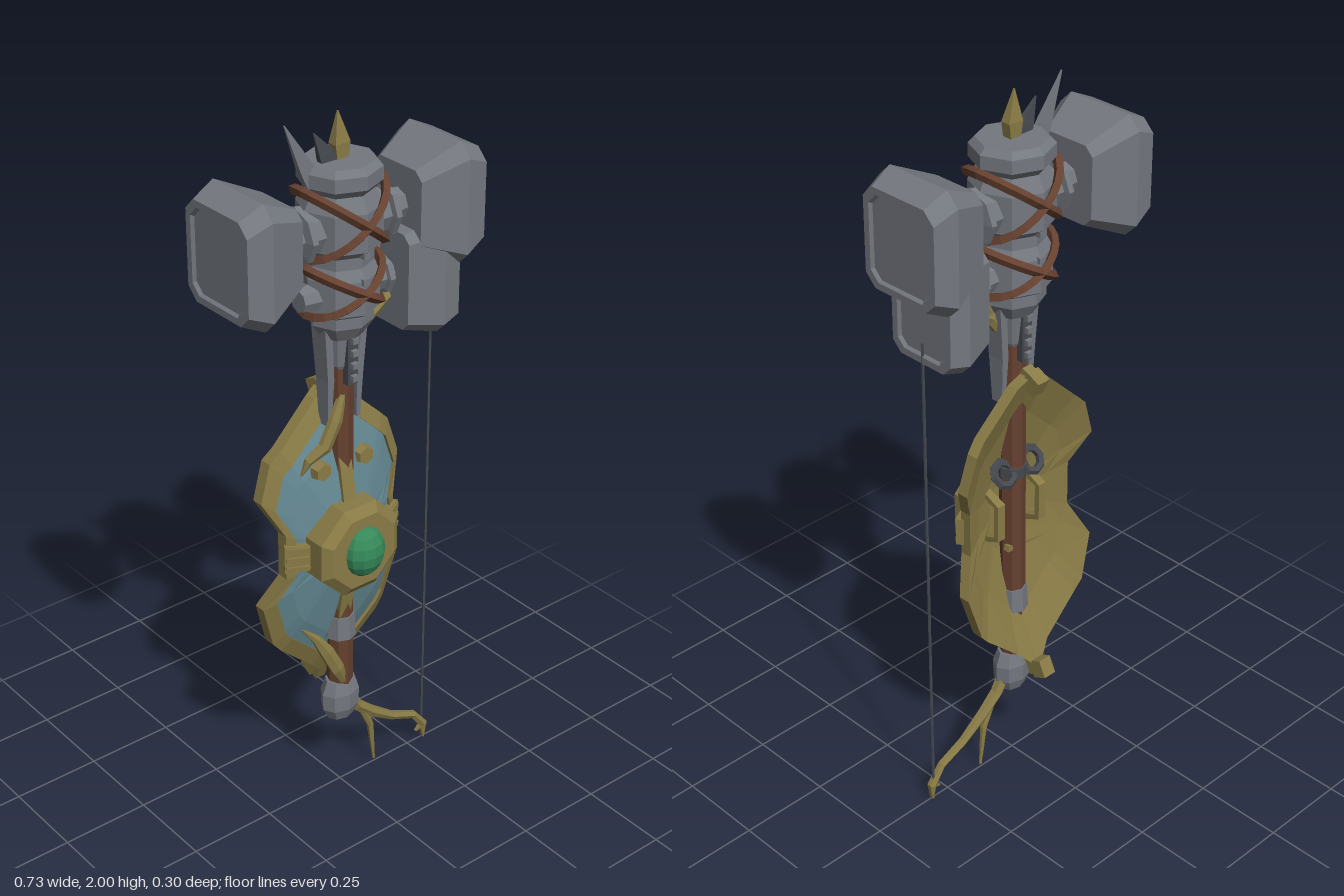
import * as THREE from 'three';

const mat = (color) => new THREE.MeshStandardMaterial({ color, flatShading: true });
const V = (x, y, z = 0) => new THREE.Vector3(x, y, z);

// Closed solid from matching loops of points; turned outward by its signed volume
function loft(rings) {
  const n = rings[0].length, tris = [];
  for (let r = 0; r < rings.length - 1; r++) {
    for (let i = 0; i < n; i++) {
      const j = (i + 1) % n, a = rings[r], b = rings[r + 1];
      tris.push([a[i], a[j], b[j]], [a[i], b[j], b[i]]);
    }
  }
  const first = rings[0], last = rings[rings.length - 1];
  for (let i = 1; i < n - 1; i++) {
    tris.push([first[0], first[i + 1], first[i]], [last[0], last[i], last[i + 1]]);
  }
  let volume = 0;
  for (const [a, b, c] of tris) volume += a.dot(b.clone().cross(c));
  const pos = [];
  for (const [a, b, c] of tris) for (const p of volume < 0 ? [a, c, b] : [a, b, c]) pos.push(p.x, p.y, p.z);
  const geo = new THREE.BufferGeometry();
  geo.setAttribute('position', new THREE.Float32BufferAttribute(pos, 3));
  geo.computeVertexNormals();
  return geo;
}

// Tapered bar along stations [x, y, z, half width, half depth]
function limb(stations, sides = 6) {
  const pts = stations.map((s) => V(s[0], s[1], s[2]));
  return loft(stations.map((s, k) => {
    const t = pts[Math.min(k + 1, pts.length - 1)].clone().sub(pts[Math.max(k - 1, 0)]).normalize();
    const n = t.clone().cross(V(0, 0, 1)).normalize(), b = n.clone().cross(t);
    return Array.from({ length: sides }, (_, i) => {
      const a = ((i + 0.5) / sides) * Math.PI * 2;
      return pts[k].clone().addScaledVector(n, Math.cos(a) * s[3]).addScaledVector(b, Math.sin(a) * s[4]);
    });
  }));
}

// Rectangle with cut corners, standing across x
function cutRect(x, cy, hy, hz, c) {
  return [[hy, hz - c], [hy - c, hz], [c - hy, hz], [-hy, hz - c], [-hy, c - hz], [c - hy, -hz], [hy - c, -hz], [hy, c - hz]]
    .map(([y, z]) => V(x, cy + y, z));
}

const lathe = (profile, sides = 8) => new THREE.LatheGeometry(profile.map(([r, y]) => new THREE.Vector2(r, y)), sides);

export function createModel() {
  const model = new THREE.Group();
  const steel = mat(0x74787f), dark = mat(0x45494f), gold = mat(0x897b46);
  const leather = mat(0x65402f), teal = mat(0x648892), green = mat(0x35895a);
  const add = (name, geo, material, x = 0, y = 0, z = 0) => {
    const mesh = new THREE.Mesh(geo, material);
    mesh.name = name;
    mesh.position.set(x, y, z);
    model.add(mesh);
    return mesh;
  };

  // Shaft, collars and pommel
  add('shaft', new THREE.CylinderGeometry(0.036, 0.036, 1.1, 8), leather, 0, 0.87);
  add('lowerCollar', new THREE.CylinderGeometry(0.04, 0.044, 0.07, 8), steel, 0, 0.54);
  add('pommel', lathe([[0, 0.235], [0.04, 0.235], [0.058, 0.27], [0.06, 0.32], [0.045, 0.36], [0, 0.36]]), steel).scale.z = 0.75;

  // Hammer core and the sleeve below it
  add('hammerCore', lathe([[0, 1.42], [0.06, 1.42], [0.085, 1.46], [0.085, 1.49], [0.1, 1.5], [0.1, 1.59], [0.085, 1.62],
    [0.085, 1.65], [0.108, 1.67], [0.108, 1.77], [0.088, 1.81], [0.106, 1.83], [0.106, 1.865], [0.09, 1.882], [0, 1.882]]), steel);
  add('sleeve', lathe([[0.04, 1.33], [0.045, 1.34], [0.058, 1.44]]), steel);
  for (const s of [-1, 1]) {
    add('sidePlate', limb([[s * 0.047, 1.17, 0, 0.009, 0.025], [s * 0.047, 1.3, 0, 0.014, 0.035], [s * 0.057, 1.45, 0, 0.016, 0.04]], 4), steel);
    add('rivetStrap', new THREE.BoxGeometry(0.032, 0.14, 0.02), dark, 0, 1.36, s * 0.043);
    for (let i = 0; i < 6; i++) {
      const y = i < 4 ? 1.31 + i * 0.035 : 1.59 + (i - 4) * 0.07;
      add('rivet', new THREE.BoxGeometry(0.018, 0.016, 0.02), steel, 0, y, s * (i < 4 ? 0.055 : 0.095));
    }
  }

  // Hammer heads with recessed striking faces
  const head = (name, side, cy, stations) => {
    const rings = stations.map(([x, hy, hz]) => cutRect(side * x, cy, hy, hz, hz * 0.27));
    const [x, hy, hz] = stations[stations.length - 1];
    rings.push(cutRect(side * x, cy, hy - 0.018, hz - 0.018, hz * 0.22));
    rings.push(cutRect(side * (x - 0.008), cy, hy - 0.024, hz - 0.024, hz * 0.2));
    add(name, loft(rings), steel);
  };
  const neck = (side, cy, r, reach) => {
    const m = add('neck', lathe([[0, 0.06], [r * 1.2, 0.06], [r * 1.2, 0.12], [r * 1.55, 0.122], [r * 1.55, 0.138],
      [r, 0.142], [r * 0.85, reach - 0.02], [r, reach], [0, reach]]), steel, 0, cy);
    m.rotation.z = -side * Math.PI / 2;
  };
  for (const s of [-1, 1]) {
    head('hammerHead', s, 1.712, [[0.183, 0.107, 0.09], [0.302, 0.163, 0.133], [0.367, 0.132, 0.12]]);
    neck(s, 1.715, 0.048, 0.2);
  }
  head('lowerHammerHead', 1, 1.525, [[0.155, 0.13, 0.08], [0.25, 0.155, 0.112], [0.305, 0.14, 0.102]]);
  neck(1, 1.54, 0.034, 0.17);
  add('sidePeg', new THREE.CylinderGeometry(0.03, 0.04, 0.05, 8), steel, -0.105, 1.54).rotation.z = Math.PI / 2;

  // Crossed leather straps: pairs of tilted loops round the core
  for (const [cy, rise, r] of [[1.735, 0.085, 0.112], [1.555, 0.06, 0.103]]) {
    for (const s of [-1, 1]) {
      const path = Array.from({ length: 16 }, (_, i) => {
        const a = (i / 16) * Math.PI * 2;
        return V(Math.sin(a) * r, cy + s * rise * Math.sin(a), Math.cos(a) * r);
      });
      add('leatherStrap', new THREE.TubeGeometry(new THREE.CatmullRomCurve3(path, true), 24, 0.013, 4, true), leather);
    }
  }

  // Top spikes
  add('goldSpike', limb([[0, 1.87, 0, 0.022, 0.018], [0, 1.92, 0, 0.032, 0.02], [-0.006, 2, 0, 0.002, 0.002]], 4), gold);
  add('tallSpike', limb([[-0.075, 1.82, 0, 0.032, 0.014], [-0.105, 1.88, 0, 0.028, 0.013], [-0.165, 2, 0, 0.002, 0.002]], 4), steel);
  add('shortSpike', limb([[-0.02, 1.86, 0, 0.045, 0.014], [-0.045, 1.9, 0, 0.03, 0.012], [-0.078, 1.96, 0, 0.002, 0.002]], 4), dark);

  // Shield: a waisted outline scaled inward over a curved bowl
  const cx = -0.006, cy = 0.825;
  const bowl = (x, y) => 0.05 - 0.55 * (y - cy) ** 2 - 1.5 * x * x;
  const half = [[0.05, 1.23], [0.165, 1.12], [0.195, 1.09], [0.227, 0.985], [0.18, 0.89], [0.18, 0.76],
    [0.227, 0.66], [0.19, 0.53], [0.165, 0.5], [0.055, 0.4]];
  const outline = [[0, 1.26], ...half, [0, 0.34], ...half.slice().reverse().map(([x, y]) => [-x, y])];
  const ring = (t, dz) => outline.map(([x, y]) => V(cx + x * t, cy + (y - cy) * t, bowl(x * t, cy + (y - cy) * t) + dz));
  add('shieldBack', loft([ring(0.05, -0.022), ring(0.35, -0.022), ring(0.7, -0.022), ring(1, -0.022), ring(1, 0.012),
    ring(0.87, 0.012), ring(0.87, -0.012), ring(0.5, -0.012), ring(0.05, -0.012)]), gold);
  add('shieldPanel', loft([ring(0.05, -0.01), ring(0.5, -0.01), ring(0.88, -0.01), ring(0.88, 0.002), ring(0.7, 0.002),
    ring(0.35, 0.002), ring(0.05, 0.002)]), teal);

  // Shield ridges, tips, cross bands and studs
  for (const s of [-1, 1]) {
    const end = s > 0 ? 1.265 : 0.32;
    const ridge = [0, 0.35, 0.7, 1].map((t) => {
      const y = cy + s * 0.1 + (end - cy - s * 0.1) * t;
      return [cx, y, bowl(0, y), 0.03 - 0.008 * t, 0.016];
    });
    add('shieldRidge', limb(ridge, 4), gold);
    const tip = add('shieldTip', new THREE.BoxGeometry(0.04, 0.05, 0.045), gold, cx, end - s * 0.03, bowl(0, end) - 0.02);
    tip.rotation.x = -s * 0.45;
    add('crossBand', limb([[cx + s * 0.08, cy, 0.048, 0.05, 0.014], [cx + s * 0.14, cy, 0.032, 0.05, 0.014],
      [cx + s * 0.183, cy, 0.005, 0.055, 0.022]], 4), gold);
    for (const dy of [-0.028, 0, 0.028]) {
      add('bandRib', new THREE.BoxGeometry(0.06, 0.014, 0.03), gold, cx + s * 0.155, cy + dy, 0.025).rotation.y = s * 0.5;
    }
    add('shieldStud', new THREE.CylinderGeometry(0.024, 0.03, 0.025, 6), gold, cx + s * 0.07, 1.05, 0.02).rotation.x = Math.PI / 2;
  }

  // Boss and gem
  const boss = add('boss', lathe([[0, 0.02], [0.138, 0.02], [0.138, 0.09], [0.11, 0.11], [0, 0.11]]), gold, cx, cy);
  boss.rotation.set(Math.PI / 2, Math.PI / 8, 0);
  add('gem', new THREE.SphereGeometry(0.064, 12, 8), green, cx, cy, 0.1).scale.set(1, 1.15, 0.88);

  // Curved horns lying over the shield
  add('upperHorn', limb([[0, 1.275, 0.02, 0.008, 0.008], [-0.04, 1.19, 0.032, 0.022, 0.014], [-0.075, 1.125, 0.032, 0.022, 0.014],
    [-0.125, 1.1, 0.028, 0.014, 0.01], [-0.142, 1.06, 0.02, 0.003, 0.003]]), gold);
  add('lowerHorn', limb([[-0.142, 0.585, 0.02, 0.003, 0.003], [-0.1, 0.54, 0.025, 0.014, 0.01], [-0.07, 0.49, 0.03, 0.022, 0.014],
    [-0.035, 0.42, 0.032, 0.022, 0.014], [0, 0.35, 0.02, 0.01, 0.01]]), gold);

  // Bow limbs with forked branches, and the string
  add('lowerBowLimb', limb([[0.02, 0.3, 0, 0.02, 0.02], [0.06, 0.235, 0, 0.018, 0.018], [0.11, 0.19, 0, 0.018, 0.015],
    [0.19, 0.135, 0, 0.013, 0.013], [0.27, 0.1, 0, 0.012, 0.012], [0.308, 0.05, 0, 0.014, 0.013], [0.308, 0.005, 0, 0.004, 0.008]]), gold);
  add('lowerBowBranch', limb([[0.075, 0.225, 0, 0.014, 0.013], [0.11, 0.14, 0, 0.01, 0.01], [0.124, 0.015, 0, 0.004, 0.004]]), gold);
  add('bowHook', limb([[0.305, 0.05, 0, 0.01, 0.01], [0.28, 0.035, 0, 0.003, 0.005]], 4), gold);
  add('upperBowLimb', limb([[0.005, 1.27, 0, 0.016, 0.016], [0.025, 1.35, 0, 0.018, 0.018], [0.075, 1.42, 0, 0.018, 0.015],
    [0.15, 1.47, 0, 0.014, 0.014], [0.24, 1.5, 0, 0.012, 0.012]]), gold);
  add('upperBowBranch', limb([[0.075, 1.42, 0, 0.014, 0.012], [0.11, 1.51, 0, 0.01, 0.01], [0.125, 1.63, 0, 0.004, 0.004]]), gold);
  add('bowString', new THREE.CylinderGeometry(0.004, 0.004, 1.4, 5), dark, 0.302, 0.74);

  // Grips and fittings inside the shield
  for (const s of [-1, 1]) {
    add('rearBracket', limb([[s * 0.075, 0.9, 0.03, 0.016, 0.012], [s * 0.075, 0.875, -0.03, 0.018, 0.012],
      [s * 0.075, 0.775, -0.03, 0.018, 0.012], [s * 0.075, 0.75, 0.03, 0.016, 0.012]], 4), gold);
    add('rearLoop', new THREE.TorusGeometry(0.032, 0.012, 5, 8), dark, s * 0.05, 0.96, -0.02).rotation.x = 0.6;
  }
  add('rearClamp', new THREE.CylinderGeometry(0.042, 0.042, 0.03, 8), dark, 0, 0.95);
  add('rearSpike', limb([[0.04, 0.72, -0.02, 0.012, 0.012], [-0.1, 0.69, -0.01, 0.003, 0.003]], 4), gold);
  return model;
}
